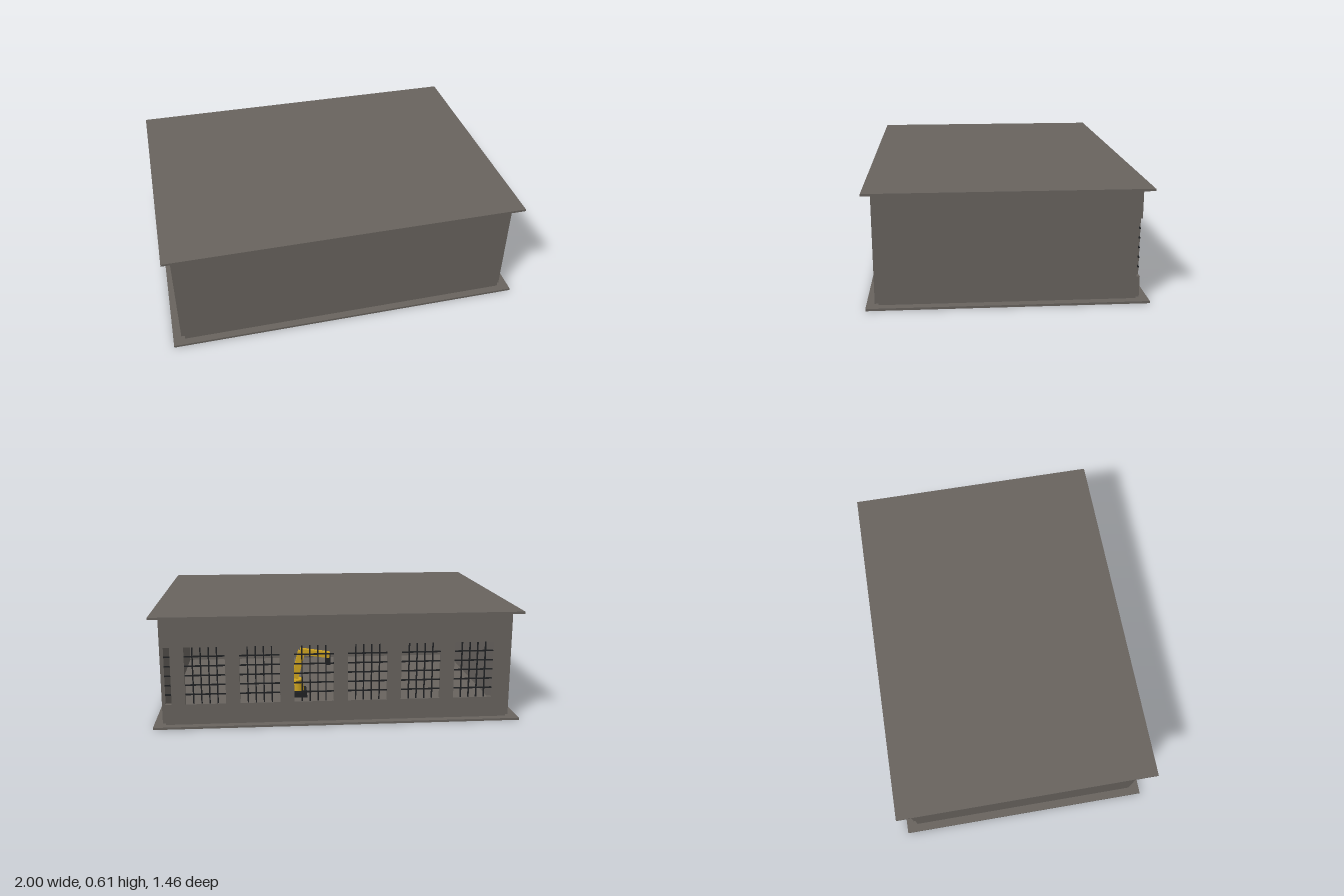
import * as THREE from 'three';

const FLOOR = 0.012, EAVES = 0.6;      // inside heights
const SILL = 0.125, HEAD = 0.44;       // window opening heights
const WIN_W = 0.216, PITCH = 0.292, FIRST_X = 0.718;

export function createModel() {
  const model = new THREE.Group();
  model.name = 'factoryHall';

  const paint = (name, color) => {
    const m = new THREE.MeshStandardMaterial({ color });
    m.name = name;
    return m;
  };
  const concrete = paint('concreteGrey', 0x68635e);
  const iron = paint('darkIron', 0x202224);
  const yellow = paint('machineYellow', 0xd0a520);
  const teal = paint('beamTeal', 0x1f4a48);

  const box = (parent, name, mat, w, h, d, x, y, z) => {
    const mesh = new THREE.Mesh(new THREE.BoxGeometry(w, h, d), mat);
    mesh.name = name;
    mesh.position.set(x, y, z);
    parent.add(mesh);
    return mesh;
  };
  const group = (name) => {
    const g = new THREE.Group();
    g.name = name;
    model.add(g);
    return g;
  };

  // Overhanging floor and roof slabs
  box(model, 'floorSlab', concrete, 2, FLOOR, 1.46, 0, FLOOR / 2, 0);
  box(model, 'roofSlab', concrete, 2, 0.012, 1.46, 0, EAVES + 0.006, 0);

  // Blank walls, meeting at notched corners
  const wallH = EAVES - FLOOR, wallY = (EAVES + FLOOR) / 2;
  box(model, 'frontWall', concrete, 1.87, wallH, 0.022, 0, wallY, 0.677);
  for (const s of [-1, 1]) {
    box(model, s > 0 ? 'leftWall' : 'rightWall', concrete, 0.02, wallH, 1.332, s * 0.945, wallY, 0);
  }

  // Back wall with six windows and a part window cut off at its +x end
  const outline = new THREE.Shape();
  [[-0.935, FLOOR], [0.935, FLOOR], [0.935, SILL], [0.9, SILL], [0.9, HEAD],
    [0.935, HEAD], [0.935, EAVES], [-0.935, EAVES]]
    .forEach(([x, y], i) => (i ? outline.lineTo(x, y) : outline.moveTo(x, y)));
  outline.closePath();
  const centres = Array.from({ length: 6 }, (_, i) => FIRST_X - i * PITCH);
  for (const cx of centres) {
    const hole = new THREE.Path();
    hole.moveTo(cx - WIN_W / 2, SILL);
    hole.lineTo(cx - WIN_W / 2, HEAD);
    hole.lineTo(cx + WIN_W / 2, HEAD);
    hole.lineTo(cx + WIN_W / 2, SILL);
    hole.closePath();
    outline.holes.push(hole);
  }
  const backWall = new THREE.Mesh(
    new THREE.ExtrudeGeometry(outline, { depth: 0.022, bevelEnabled: false }), concrete);
  backWall.name = 'backWall';
  backWall.position.z = -0.688;
  model.add(backWall);

  // Window grilles
  const grilles = group('windowGrilles');
  const BAR = 0.007, barZ = -0.677, winH = HEAD - SILL;
  const crossBars = (x, w) => {
    for (let r = 1; r <= 5; r++) {
      box(grilles, 'crossBar', iron, w, BAR, BAR, x, SILL + winH * r / 6, barZ);
    }
  };
  for (const cx of centres) {
    for (let c = 1; c <= 4; c++) {
      box(grilles, 'uprightBar', iron, BAR, winH, BAR, cx - WIN_W / 2 + WIN_W * c / 5, (SILL + HEAD) / 2, barZ);
    }
    crossBars(cx, WIN_W);
  }
  crossBars(0.917, 0.034);

  // Overhead girders along the hall
  const girders = group('overheadGirders');
  box(girders, 'craneGirder', yellow, 1.86, 0.04, 0.03, 0, 0.5, 0.03);
  box(girders, 'roofBeam', teal, 1.86, 0.03, 0.03, 0, 0.52, -0.27);
  box(girders, 'roofBeam', teal, 1.86, 0.03, 0.03, 0, 0.52, 0.33);

  // Jointed machine on the hall floor
  const machine = group('floorMachine');
  box(machine, 'base', iron, 0.14, 0.03, 0.14, 0.22, FLOOR + 0.015, -0.2);
  const turret = new THREE.Mesh(new THREE.CylinderGeometry(0.045, 0.055, 0.07, 20), yellow);
  turret.name = 'turret';
  turret.position.set(0.22, FLOOR + 0.065, -0.2);
  machine.add(turret);
  box(machine, 'lowerArm', yellow, 0.04, 0.17, 0.04, 0.2, 0.2, -0.2).rotation.z = 0.25;
  box(machine, 'upperArm', yellow, 0.18, 0.035, 0.035, 0.1, 0.27, -0.2).rotation.z = 0.15;
  box(machine, 'gripper', iron, 0.03, 0.07, 0.03, 0.02, 0.23, -0.2);

  return model;
}
